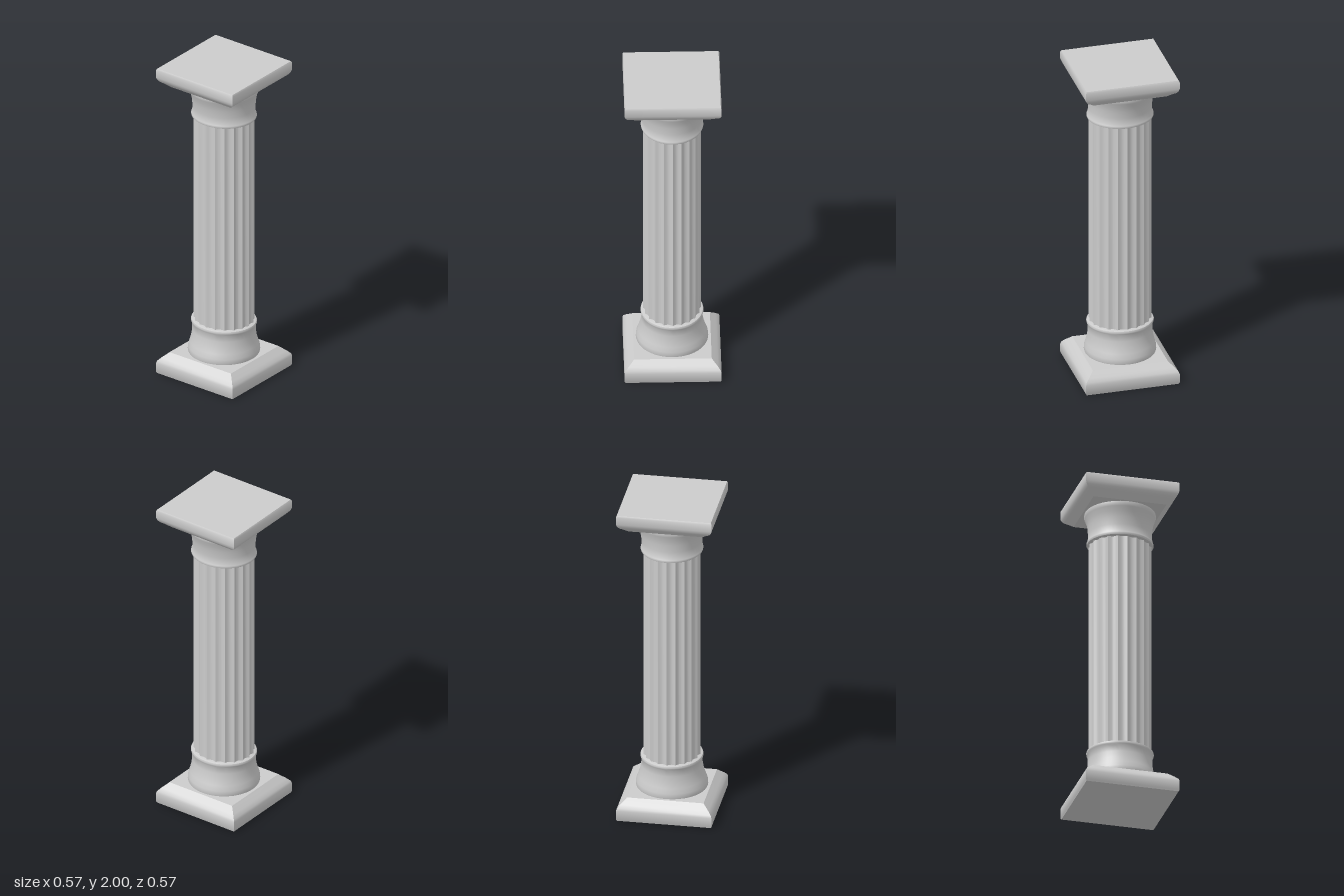
import * as THREE from 'three';
import { toCreasedNormals } from 'three/addons/utils/BufferGeometryUtils.js';

const material = new THREE.MeshStandardMaterial({ color: 0xcccccc });

function addMesh(group, name, geometry) {
  const mesh = new THREE.Mesh(geometry, material);
  mesh.name = name;
  group.add(mesh);
}

const toPoints = (pairs) => pairs.map(([r, y]) => new THREE.Vector2(r, y));

// Square moulded block: a four-sided lathe, profile given as half-width and height
function squareBlock(pairs) {
  const points = toPoints(pairs.map(([w, y]) => [w * Math.SQRT2, y]));
  return toCreasedNormals(new THREE.LatheGeometry(points, 4, Math.PI / 4), 0.6);
}

// Round collar, slightly oval near the shaft and circular at the flared end
function collar(pairs, shaftY, flareY) {
  const geometry = new THREE.LatheGeometry(toPoints(pairs), 48);
  const pos = geometry.attributes.position;
  for (let i = 0; i < pos.count; i++) {
    const t = THREE.MathUtils.smoothstep(Math.abs(pos.getY(i) - shaftY), 0, Math.abs(flareY - shaftY));
    pos.setZ(i, pos.getZ(i) * THREE.MathUtils.lerp(0.925, 1, t));
  }
  return toCreasedNormals(geometry, 0.7);
}

// Shaft with concave flutes meeting at sharp ridges
function flutedShaft(y0, y1, rx, rz, flutes, depth) {
  const steps = 6, outline = [];
  for (let i = 0; i < flutes * steps; i++) {
    const a = (i / (flutes * steps)) * Math.PI * 2;
    const k = 1 - depth * Math.sin(((i % steps) / steps) * Math.PI);
    outline.push(new THREE.Vector2(Math.cos(a) * rx * k, Math.sin(a) * rz * k));
  }
  const geometry = new THREE.ExtrudeGeometry(new THREE.Shape(outline), { depth: y1 - y0, bevelEnabled: false });
  geometry.rotateX(-Math.PI / 2).translate(0, y0, 0);
  return toCreasedNormals(geometry, 0.5);
}

export function createModel() {
  const column = new THREE.Group();
  column.name = 'column';

  addMesh(column, 'plinth', squareBlock([
    [0, 0], [0.28, 0], [0.285, 0.01], [0.285, 0.065], [0.28, 0.08],
    [0.262, 0.1], [0.235, 0.125], [0.228, 0.132], [0, 0.132],
  ]));

  addMesh(column, 'baseCollar', collar([
    [0, 0.125], [0.208, 0.125], [0.213, 0.14], [0.211, 0.165], [0.202, 0.195],
    [0.194, 0.23], [0.191, 0.27], [0.191, 0.31], [0.198, 0.319], [0.2, 0.328],
    [0.197, 0.336], [0.188, 0.34], [0, 0.34],
  ], 0.34, 0.14));

  addMesh(column, 'shaft', flutedShaft(0.33, 1.68, 0.186, 0.169, 20, 0.07));

  addMesh(column, 'capitalCollar', collar([
    [0, 1.67], [0.188, 1.67], [0.196, 1.674], [0.199, 1.682], [0.197, 1.69],
    [0.191, 1.7], [0.189, 1.74], [0.191, 1.785], [0.197, 1.82], [0.207, 1.847],
    [0.212, 1.862], [0.209, 1.882], [0, 1.882],
  ], 1.67, 1.87));

  addMesh(column, 'abacus', squareBlock([
    [0, 1.875], [0.222, 1.875], [0.23, 1.882], [0.247, 1.897], [0.268, 1.913],
    [0.279, 1.927], [0.285, 1.945], [0.285, 1.99], [0.28, 2], [0, 2],
  ]));

  return column;
}
